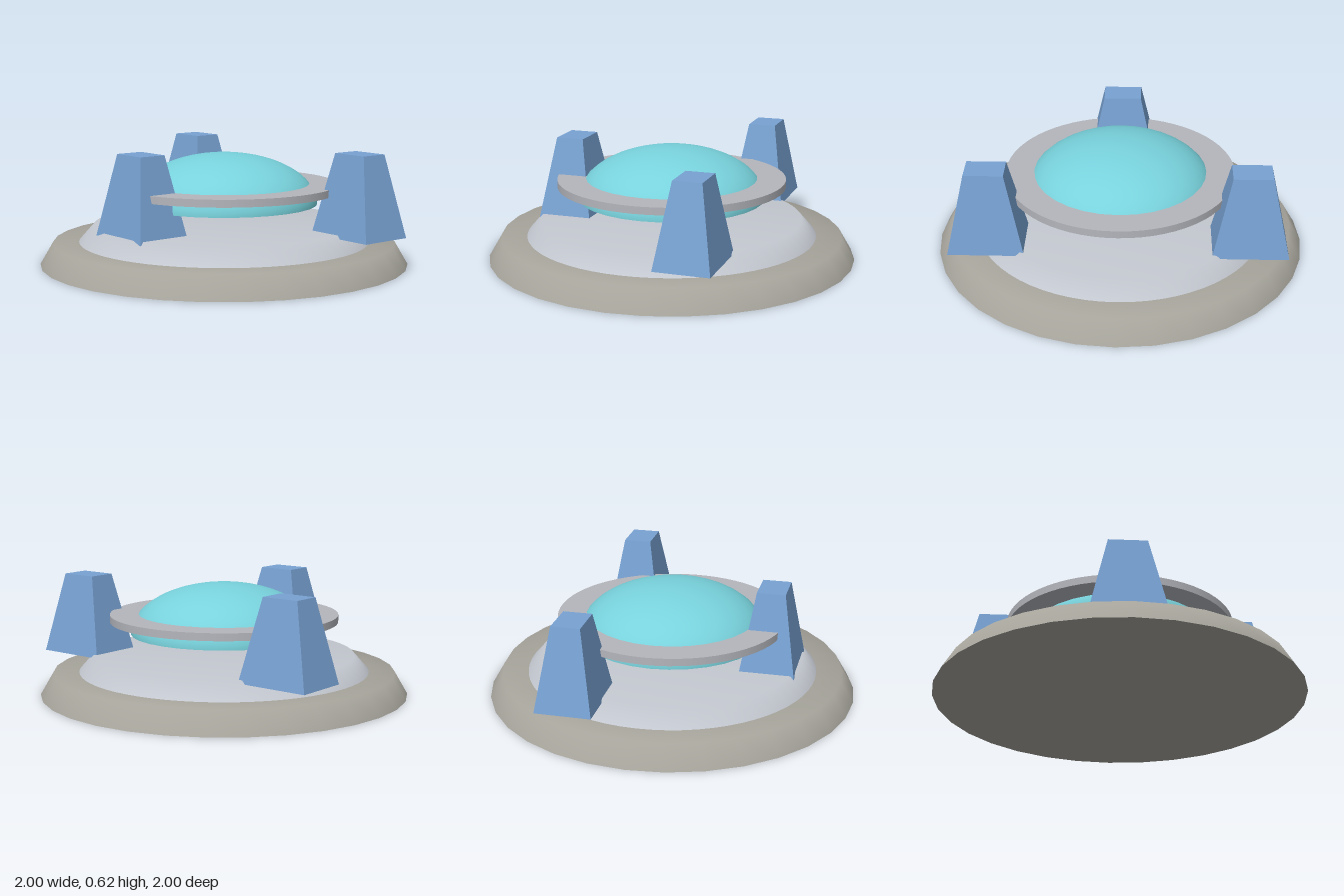
import * as THREE from 'three';

const material = (name, color) => {
  const m = new THREE.MeshStandardMaterial({ color });
  m.name = name;
  return m;
};

// Four-sided tapered block from half-sizes at the bottom and top
function taperedBlock(bottom, top, height) {
  const g = new THREE.BoxGeometry(2, height, 2).toNonIndexed();
  const p = g.attributes.position;
  for (let i = 0; i < p.count; i++) {
    const [hx, hz] = p.getY(i) > 0 ? top : bottom;
    p.setX(i, p.getX(i) * hx);
    p.setZ(i, p.getZ(i) * hz);
  }
  g.computeVertexNormals();
  return g;
}

const lathe = (points, segments) =>
  new THREE.LatheGeometry(points.map(([x, y]) => new THREE.Vector2(x, y)), segments);

export function createModel() {
  const model = new THREE.Group();
  const stone = material('warm grey', 0xa6a49b);
  const paleGrey = material('pale grey', 0xc3c7cf);
  const ringGrey = material('ring grey', 0xb4b6bc);
  const glass = material('turquoise', 0x78d2dc);
  const blue = material('blue', 0x78a2d3);

  const add = (name, geometry, mat, x = 0, y = 0, z = 0) => {
    const mesh = new THREE.Mesh(geometry, mat);
    mesh.name = name;
    mesh.position.set(x, y, z);
    model.add(mesh);
    return mesh;
  };

  // Wide sloping base with a flat underside
  add('base', lathe([[1, 0], [0.93, 0.12], [0.7, 0.12]], 32), stone);
  add('baseUnderside', new THREE.CircleGeometry(1, 32), stone).rotation.x = Math.PI / 2;

  // Smaller raised deck, softly shaded over its rim
  add('deck', lathe([[0.79, 0.12], [0.71, 0.21], [0, 0.21]], 64), paleGrey);

  // Floating flattened dome and the ring around it
  const dome = new THREE.SphereGeometry(1, 32, 16, 0, Math.PI * 2, 0, Math.PI / 2);
  add('dome', dome, glass, 0, 0.32, 0).scale.set(0.508, 0.275, 0.508);
  add('domeUnderside', new THREE.CircleGeometry(0.508, 32), glass, 0, 0.32, 0).rotation.x = Math.PI / 2;
  add('ring', new THREE.CylinderGeometry(0.62, 0.62, 0.04, 64), ringGrey, 0, 0.41, 0);

  // Three tapered towers holding the ring
  const tower = taperedBlock([0.2, 0.148], [0.103, 0.076], 0.433);
  const places = [['frontTower', 0, 0.553], ['leftTower', 0.685, -0.348], ['rightTower', -0.685, -0.348]];
  for (const [name, x, z] of places) add(name, tower, blue, x, 0.408, z);

  return model;
}
